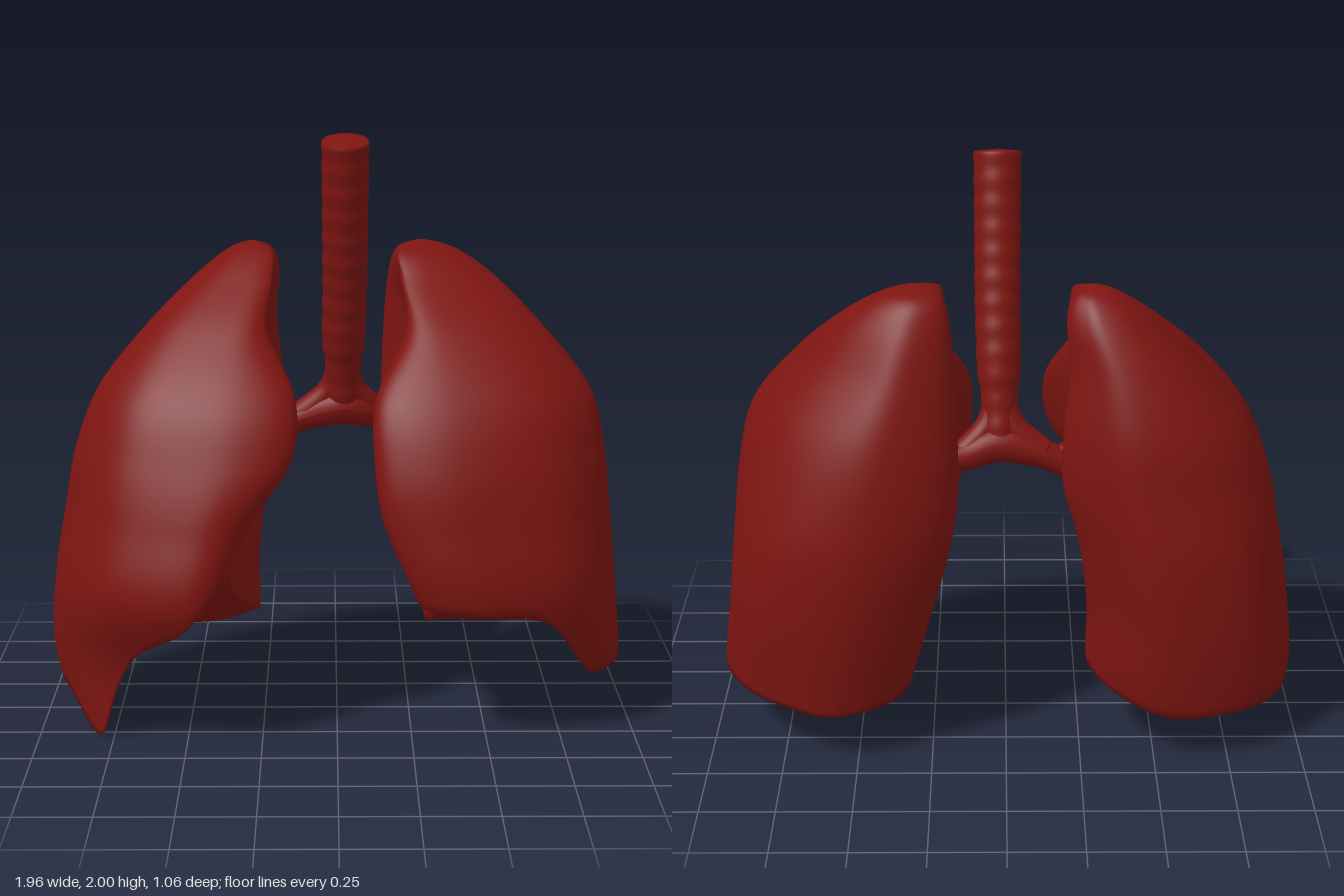
import * as THREE from 'three';
import { mergeVertices } from 'three/addons/utils/BufferGeometryUtils.js';

const material = new THREE.MeshStandardMaterial({ color: 0x7e1511 });

// Catmull-Rom through rows of numbers, open or closed
function spline(rows, t, closed = false) {
  const n = rows.length;
  const i = closed ? Math.floor(t) : Math.min(Math.floor(t), n - 2);
  const f = t - i;
  const at = k => rows[closed ? (k + n) % n : Math.max(0, Math.min(n - 1, k))];
  const [p, q, r, s] = [at(i - 1), at(i), at(i + 1), at(i + 2)];
  return q.map((v, k) => v + 0.5 * f * (r[k] - p[k]
    + f * (2 * p[k] - 5 * v + 4 * r[k] - s[k] + f * (3 * (v - r[k]) + s[k] - p[k]))));
}

// Horizontal outline, lateral -> back -> medial -> front:
// [across 0 medial..1 lateral, depth 0 back..1 front, then weights:
//  hollow, margin, back rounding, back trim, front swell]
const OUTLINE = [
  [1, 0.48, 0, 0, 0, 0.1, 0], [0.955, 0.24, 0, 0, 0, 0.7, 0], [0.77, 0.065, 0, 0, 0, 1, 0],
  [0.43, 0, 0, 0, 0, 0.3, 0], [0.12, 0.08, 0, 0, 1, 0, 0], [0.01, 0.23, 0.12, 0, 0.3, 0, 0],
  [0, 0.44, 1, 0, 0, 0, 0], [0, 0.64, 0.8, 0.5, 0, 0, 0], [0, 0.85, 0, 1, 0, 0, 0],
  [0.04, 0.96, 0, 1, 0, 0, 0], [0.29, 1, 0, 0.3, 0, 0, 0], [0.58, 0.955, 0, 0, 0, 0, 0.5],
  [0.77, 0.87, 0, 0, 0, 0, 0.8], [0.935, 0.7, 0, 0, 0, 0, 0.6],
];

// Levels: [y, medial x, lateral x, back z, front z, hilum hollow, margin retreat, back trim, front swell]
const RIGHT = {
  side: -1, dome: 0.47, centre: [0.62, -0.06], rounding: 0.09,
  levels: [
    [1.615, 0.29, 0.29, -0.2, -0.2, 0, 0, 0, 0],
    [1.585, 0.22, 0.37, -0.28, -0.11, 0, 0, 0, 0],
    [1.5, 0.185, 0.48, -0.35, 0.01, 0.02, 0.03, 0, 0.02],
    [1.35, 0.18, 0.635, -0.42, 0.18, 0.09, 0.05, 0, 0.05],
    [1.15, 0.145, 0.8, -0.48, 0.35, 0.16, 0, 0, 0.05],
    [0.95, 0.14, 0.885, -0.5, 0.44, 0.17, 0.02, 0, 0.03],
    [0.75, 0.2, 0.925, -0.515, 0.495, 0.12, 0.09, 0, 0.01],
    [0.5, 0.24, 0.965, -0.5, 0.53, 0.07, 0.13, 0, 0],
    [0.25, 0.255, 0.98, -0.46, 0.41, 0.04, 0.13, 0, 0],
    [0, 0.36, 0.92, -0.4, 0.38, 0.03, 0.05, 0, 0],
  ],
  rim: [0.15, 0.18, 0.18, 0.17, 0.2, 0.28, 0.34, 0.48, 0.76, 0.6, 0.43, 0.3, 0.0, 0.12],
};
const LEFT = {
  side: 1, dome: 0.45, centre: [0.63, -0.06], rounding: 0,
  levels: [
    [1.618, 0.29, 0.29, -0.2, -0.2, 0, 0, 0, 0],
    [1.585, 0.21, 0.41, -0.3, -0.1, 0, 0, 0.02, 0],
    [1.5, 0.175, 0.54, -0.36, 0.01, 0.02, 0.04, 0.06, 0.02],
    [1.35, 0.15, 0.69, -0.42, 0.19, 0.1, 0.08, 0.1, 0.05],
    [1.15, 0.135, 0.85, -0.485, 0.35, 0.16, 0, 0.1, 0.06],
    [0.95, 0.13, 0.905, -0.52, 0.435, 0.17, 0, 0.06, 0.05],
    [0.75, 0.16, 0.925, -0.53, 0.47, 0.14, 0, 0.02, 0.05],
    [0.5, 0.23, 0.95, -0.505, 0.475, 0.08, 0.03, 0.02, 0.04],
    [0.2, 0.32, 0.985, -0.45, 0.35, 0.03, 0.03, 0.1, 0.01],
    [0.1, 0.35, 0.95, -0.43, 0.32, 0.02, 0.02, 0.12, 0],
  ],
  rim: [0.2, 0.19, 0.19, 0.18, 0.2, 0.23, 0.29, 0.38, 0.5, 0.48, 0.47, 0.44, 0.22, 0.2],
};

// Lung: outline lofted from the apex down to an uneven rim, then a domed hollow base
function lungGeometry({ side, dome, centre, rounding, levels, rim }) {
  const around = 140, down = 72, base = 24, rows = down + base + 1;
  const ring = OUTLINE.map(([a, b, hollow, margin, back, trim, swell], i) =>
    [a + back * rounding, b, hollow, margin, trim, swell, rim[i]]);
  const pos = [], index = [], columns = [];
  for (let j = 0; j < around; j++) {
    const [a, b, hollow, margin, trim, swell, rimY] = spline(ring, j / around * ring.length, true);
    // find where this column meets its rim height
    let lo = 0, hi = levels.length - 1;
    for (let k = 0; k < 24; k++) {
      const mid = (lo + hi) / 2;
      if (spline(levels, mid)[0] > rimY) lo = mid; else hi = mid;
    }
    const point = t => {
      const [y, xm, xl, zb, zf, h, m, tr, sw] = spline(levels, t);
      return [xm + a * (xl - xm) + hollow * h + margin * m - trim * tr + swell * sw, y, zb + b * (zf - zb)];
    };
    columns.push({ point, end: lo });
  }
  for (let i = 0; i < rows; i++) {
    for (const { point, end } of columns) {
      let [x, y, z] = point(end * Math.min(1, i / down));
      if (i > down) {
        const f = 1 - (i - down) / base;
        x = centre[0] + (x - centre[0]) * f;
        z = centre[1] + (z - centre[1]) * f;
        y += (dome - y) * Math.sin((1 - f) * Math.PI / 2);
      }
      pos.push(side * x, y, z);
    }
  }
  for (let i = 0; i < rows - 1; i++) {
    for (let j = 0; j < around; j++) {
      const k = (j + 1) % around;
      const a = i * around + j, b = i * around + k, c = a + around, d = b + around;
      if (side > 0) index.push(a, c, b, b, c, d);
      else index.push(a, b, c, b, d, c);
    }
  }
  let geo = new THREE.BufferGeometry();
  geo.setAttribute('position', new THREE.Float32BufferAttribute(pos, 3));
  geo.setIndex(index);
  geo = mergeVertices(geo, 1e-4);
  geo.computeVertexNormals();
  return geo;
}

// Tube whose radius follows a rule along its path
function airway(points, radius, segments = 40, sides = 24) {
  const path = new THREE.CatmullRomCurve3(points.map(p => new THREE.Vector3(...p)));
  const geo = new THREE.TubeGeometry(path, segments, 1, sides);
  const p = geo.attributes.position, v = new THREE.Vector3();
  for (let i = 0; i <= segments; i++) {
    const c = path.getPointAt(i / segments);
    for (let j = 0; j <= sides; j++) {
      const k = i * (sides + 1) + j;
      v.fromBufferAttribute(p, k).sub(c).multiplyScalar(radius(i / segments)).add(c);
      p.setXYZ(k, v.x, v.y, v.z);
    }
  }
  geo.computeVertexNormals();
  return geo;
}

export function createModel() {
  const model = new THREE.Group();
  const add = (name, geo) => {
    const mesh = new THREE.Mesh(geo, material);
    mesh.name = name;
    model.add(mesh);
  };

  add('rightLung', lungGeometry(RIGHT));
  add('leftLung', lungGeometry(LEFT));

  // Windpipe with faint cartilage rings, a closed top and a narrowed lower end
  add('trachea', airway(
    [[0.027, 1.985, 0.108], [0.027, 1.75, 0.05], [0.027, 1.5, -0.02], [0.022, 1.25, -0.09], [0.02, 1.05, -0.14]],
    u => u === 0 ? 0 : Math.min(0.078, 0.066 + u * 1.2) - 0.006 * u
      - 0.014 * THREE.MathUtils.smoothstep(u, 0.72, 0.88) + 0.0014 * Math.sin(u * 75), 140, 32));

  // Both main bronchi as one sweep, thickest under the windpipe
  add('mainBronchi', airway(
    [[-0.42, 0.91, -0.12], [-0.25, 0.95, -0.13], [-0.1, 1.015, -0.14], [0.02, 1.045, -0.14],
      [0.13, 1.015, -0.17], [0.24, 0.99, -0.21], [0.42, 0.97, -0.23]],
    u => u === 0 || u === 1 ? 0 : 0.045 + 0.02 * Math.exp(-(((u - 0.52) / 0.13) ** 2)), 80));

  // Webs that blend the windpipe into the bronchi
  const taper = (r0, r1) => u => u === 1 ? 0 : r1 + (r0 - r1) * (1 - u) ** 1.5;
  add('rightWeb', airway([[0.01, 1.22, -0.1], [-0.02, 1.11, -0.13], [-0.13, 1.01, -0.14]], taper(0.04, 0.045)));
  add('leftWeb', airway([[0.03, 1.22, -0.1], [0.06, 1.11, -0.13], [0.16, 1.01, -0.18]], taper(0.04, 0.04)));

  // Smaller branches entering the lungs
  const branches = [
    [[-0.16, 0.99, -0.14], [-0.26, 1.04, -0.1], [-0.4, 1.1, -0.06]],
    [[-0.17, 0.97, -0.14], [-0.27, 0.89, -0.09], [-0.4, 0.8, -0.04]],
    [[0.13, 1.02, -0.16], [0.22, 1.0, -0.08], [0.38, 0.98, -0.02]],
    [[0.15, 1.01, -0.18], [0.24, 1.08, -0.2], [0.38, 1.14, -0.2]],
    [[0.15, 1.0, -0.18], [0.24, 0.9, -0.15], [0.38, 0.82, -0.1]],
  ];
  branches.forEach((p, i) => add('bronchialBranch' + (i + 1), airway(p, taper(0.034, 0.022), 20, 16)));

  return model;
}
